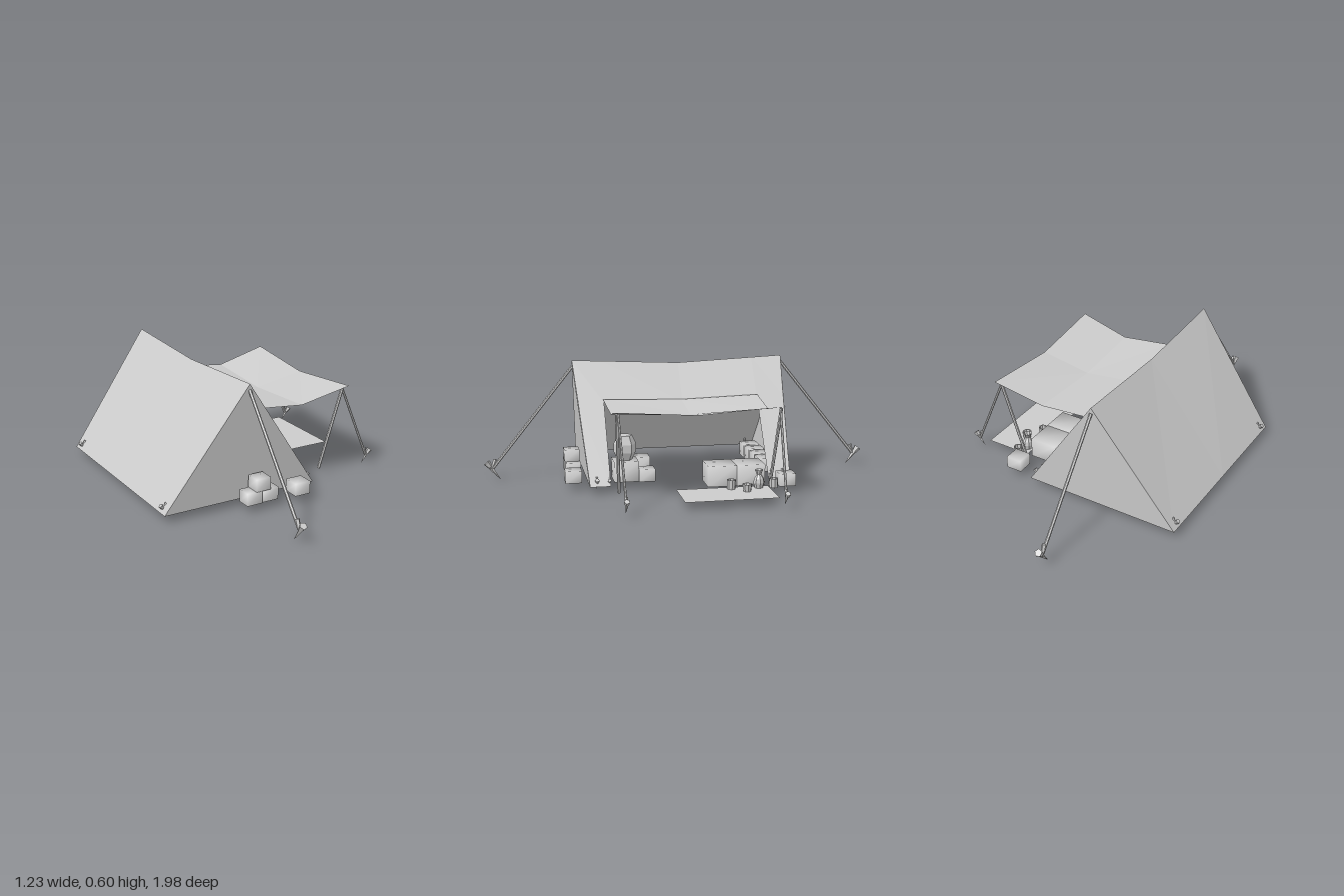
import * as THREE from 'three';
import { mergeVertices } from 'three/addons/utils/BufferGeometryUtils.js';

const flat = new THREE.MeshStandardMaterial({ color: 0xcccccc, flatShading: true, side: THREE.DoubleSide });
const soft = new THREE.MeshStandardMaterial({ color: 0xcccccc, side: THREE.DoubleSide });
const GROUND = 0.05;
const V = (x, y, z) => new THREE.Vector3(x, y, z);

export function createModel() {
  const root = new THREE.Group();
  root.name = 'campTent';

  const add = (name, geo, mat = flat, parent = root) => {
    const m = new THREE.Mesh(geo, mat);
    m.name = name;
    parent.add(m);
    return m;
  };

  // Cloth from rows of points; skip(row, column) leaves an opening
  const cloth = (name, rows, skip = () => false) => {
    const n = rows[0].length, index = [];
    for (let i = 0; i < rows.length - 1; i++)
      for (let j = 0; j < n - 1; j++) {
        if (skip(i, j)) continue;
        const a = i * n + j;
        index.push(a, a + 1, a + n, a + 1, a + n + 1, a + n);
      }
    const g = new THREE.BufferGeometry().setFromPoints(rows.flat());
    g.setIndex(index);
    g.computeVertexNormals();
    return add(name, g);
  };

  // Straight round bar between two points
  const bar = (name, a, b, r0, r1 = r0, sides = 6, parent = root) => {
    const d = b.clone().sub(a);
    const m = add(name, new THREE.CylinderGeometry(r1, r0, d.length(), sides), flat, parent);
    m.position.copy(a).addScaledVector(d, 0.5);
    m.quaternion.setFromUnitVectors(V(0, 1, 0), d.normalize());
    return m;
  };

  // Crate without underside, softly shaded
  const crate = (x, z, w, h, d, y = GROUND, turn = 0) => {
    const g = new THREE.BoxGeometry(w, h, d);
    g.setIndex([...g.index.array].filter((_, i) => i < 18 || i > 23));
    g.clearGroups();
    g.deleteAttribute('normal');
    g.deleteAttribute('uv');
    const s = mergeVertices(g);
    s.computeVertexNormals();
    const m = add('crate', s, soft);
    m.position.set(x, y + h / 2, z);
    m.rotation.y = turn;
  };

  // Peg driven in at a slant, head leaning along (dx, dz)
  const peg = (x, z, dx, dz, s = 1) => {
    const g = new THREE.Group();
    g.name = 'peg';
    bar('pegSpike', V(0, -0.05, 0), V(0, 0.035, 0), 0.001, 0.012, 4, g);
    bar('pegHead', V(0, 0.025, 0), V(0, 0.06, 0), 0.011, 0.019, 5, g);
    bar('pegHook', V(-0.004, 0.02, 0), V(-0.045, 0.045, 0), 0.007, 0.011, 4, g);
    g.scale.setScalar(s);
    g.position.set(x, GROUND + 0.005, z);
    g.rotation.set(0, Math.atan2(-dz, dx), -0.65, 'YXZ');
    root.add(g);
  };

  // Closed slope with sagging ridge
  const ridge = [V(-0.2, 0.61, -0.54), V(-0.2, 0.585, 0), V(-0.2, 0.61, 0.54)];
  cloth('closedSlope', [ridge, [V(-0.61, GROUND, -0.495), V(-0.61, GROUND, 0), V(-0.61, GROUND, 0.495)]]);

  // Open slope with wide doorway
  const zs = [[-0.54, -0.523, -0.495], [-0.385, -0.385, -0.385], [0, 0, 0], [0.395, 0.395, 0.395], [0.54, 0.523, 0.495]];
  const sag = z => 0.025 * (1 - Math.abs(z) / 0.54);
  const slopeRows = [[-0.2, 0.61, 1], [-0.07, 0.418, 0.6], [0.18, GROUND, 0]].map(([x, y, k], i) =>
    zs.map(z => V(x, y - k * sag(z[i]), z[i])));
  cloth('openSlope', slopeRows, (i, j) => i === 1 && (j === 1 || j === 2));

  // Gable ends, storm lines and pegs
  for (const s of [-1, 1]) {
    const g = new THREE.BufferGeometry().setFromPoints(
      [V(-0.61, GROUND, s * 0.495), V(0.18, GROUND, s * 0.495), V(-0.2, 0.61, s * 0.54)]);
    g.setIndex(s > 0 ? [0, 1, 2] : [1, 0, 2]);
    g.computeVertexNormals();
    add('gable', g);
    bar('stormLine', V(-0.2, 0.58, s * 0.538), V(-0.2, 0.075, s * 0.945), 0.008);
    peg(-0.2, s * 0.94, 0, s, 1);
    peg(-0.585, s * 0.45, -1, 0, 0.6);
    peg(0.155, s * 0.46, 1, 0, 0.6);
    peg(0.155, s * 0.4, 1, 0, 0.5);
  }

  // Awning with sagging middle
  const awning = [[-0.07, 0.43, 0.393, 0.012, 0], [0.18, 0.402, 0.385, 0.016, 0.01], [0.44, 0.46, 0.403, 0.03, 0.015]];
  cloth('awning', awning.map(([x, y, w, drop, pull]) =>
    [-1, 0, 1].map(k => V(x - (k ? 0 : pull), y - (k ? 0 : drop), 0.007 + k * w))));

  // Awning poles and guy lines
  for (const s of [-1, 1]) {
    const z = k => 0.007 + s * k;
    bar('awningPole', V(0.3, GROUND, z(0.365)), V(0.412, 0.447, z(0.385)), 0.008);
    bar('awningLine', V(0.415, 0.447, z(0.38)), V(0.583, 0.065, z(0.368)), 0.006);
    peg(0.58, z(0.368), 1, 0, 0.75);
  }

  // Ground mat
  cloth('mat', [0.305, 0.535].map(x => [V(x, GROUND + 0.002, -0.345), V(x, GROUND + 0.002, 0.1)]));

  // Crates: x, z, width, height, depth, base
  [
    [-0.2, 0.555, 0.08, 0.06, 0.07], [-0.115, 0.55, 0.085, 0.06, 0.07], [-0.155, 0.555, 0.075, 0.06, 0.075, 0.11],
    [0.05, 0.565, 0.08, 0.06, 0.08], [0.29, -0.44, 0.08, 0.06, 0.08],
    [0.21, -0.13, 0.14, 0.1, 0.14], [0.21, -0.27, 0.14, 0.1, 0.14],
    [0.05, 0.31, 0.12, 0.1, 0.12], [-0.06, 0.225, 0.1, 0.09, 0.1], [0.08, 0.21, 0.08, 0.06, 0.08],
  ].forEach(c => crate(...c));
  for (let i = 0; i < 4; i++) crate(-0.34 + i * 0.11, -0.415, 0.085, 0.07, 0.085);

  // Turned wares: profile of [radius, height] pairs
  const ware = (name, x, z, y, sides, profile) =>
    add(name, new THREE.LatheGeometry(profile.map(p => new THREE.Vector2(...p)), sides)).position.set(x, y, z);
  ware('barrel', 0.05, 0.31, 0.15, 6, [[0, 0], [0.036, 0], [0.055, 0.04], [0.055, 0.08], [0.036, 0.122], [0, 0.122]]);
  const mat = GROUND + 0.002;
  ware('jug', 0.335, -0.295, mat, 8, [[0, 0], [0.02, 0], [0.027, 0.025], [0.024, 0.045], [0.011, 0.065], [0.02, 0.088]]);
  const cup = [[0, 0], [0.02, 0], [0.022, 0.045], [0.018, 0.045], [0.017, 0.01], [0, 0.01]];
  ware('cup', 0.335, -0.16, mat, 8, cup);
  ware('cup', 0.345, -0.365, mat, 8, cup);
  ware('bowl', 0.39, -0.225, mat, 8, [[0, 0], [0.018, 0], [0.024, 0.035], [0.02, 0.035], [0.014, 0.008], [0, 0.008]]);

  return root;
}
